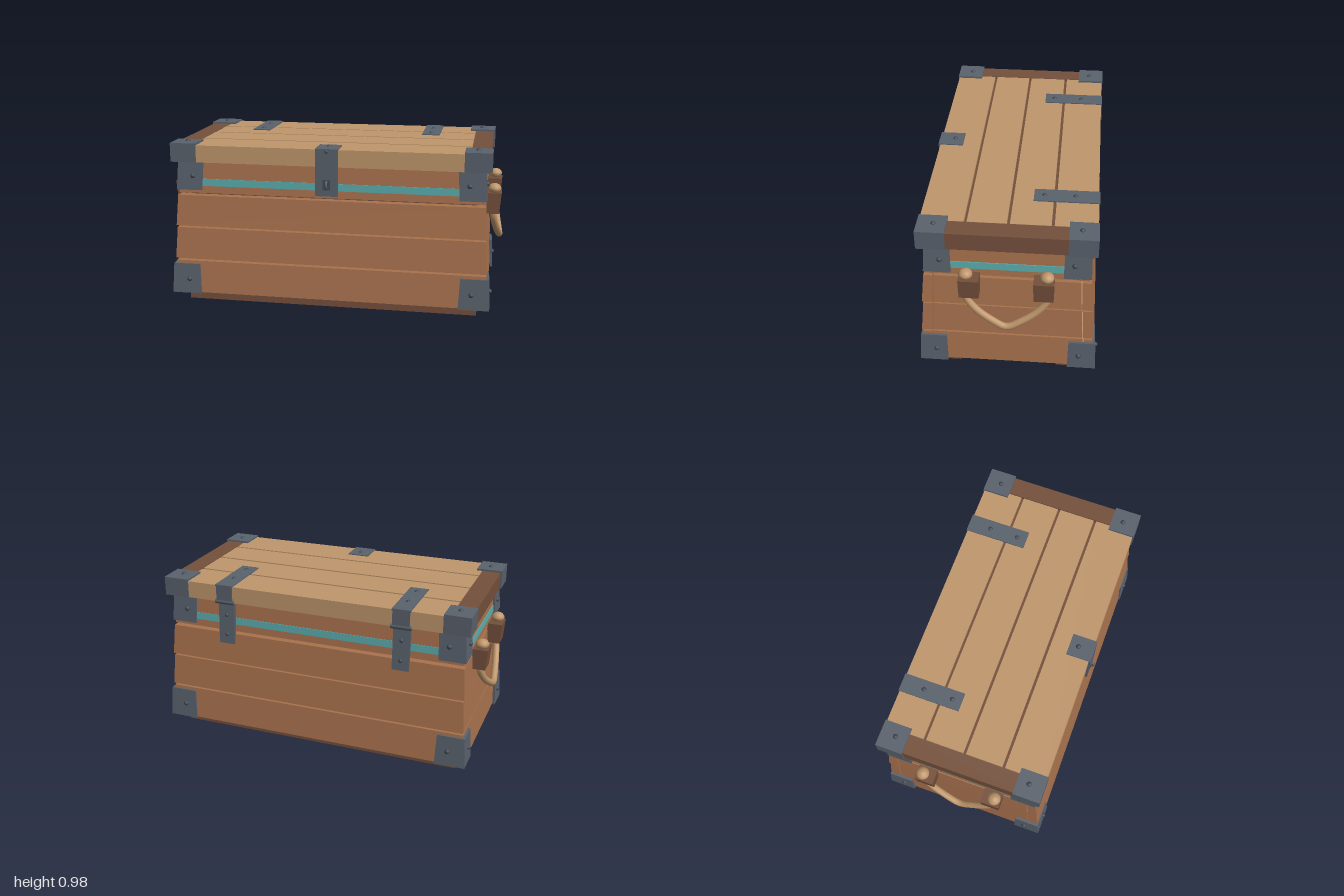
import * as THREE from 'three';

const mat = (name, color) => Object.assign(new THREE.MeshStandardMaterial({ color }), { name });

export function createModel() {
  const brown = mat('brown wood', 0xa9724e);
  const dark = mat('dark wood', 0x75503c);
  const tan = mat('pale wood', 0xbf966b);
  const iron = mat('iron', 0x5a626d);
  const rivetIron = mat('dark iron', 0x444b55);
  const teal = mat('teal trim', 0x5aacad);

  const root = new THREE.Group();
  root.name = 'chest';

  const add = (parent, name, geometry, material) => {
    const m = new THREE.Mesh(geometry, material);
    m.name = name;
    parent.add(m);
    return m;
  };

  // Block between y0 and y1 with [x0, x1, z0, z1] given at the bottom and at the top
  const block = (parent, name, material, y0, y1, low, high = low) => {
    const g = new THREE.BoxGeometry(1, 1, 1);
    const p = g.attributes.position;
    for (let i = 0; i < p.count; i++) {
      const up = p.getY(i) > 0, r = up ? high : low;
      const x = p.getX(i) > 0 ? Math.max(r[0], r[1]) : Math.min(r[0], r[1]);
      const z = p.getZ(i) > 0 ? Math.max(r[2], r[3]) : Math.min(r[2], r[3]);
      p.setXYZ(i, x, up ? y1 : y0, z);
    }
    g.computeVertexNormals();
    return add(parent, name, g, material);
  };

  const rivet = (parent, x, y, z, r = 0.015) => {
    const m = add(parent, 'rivet', new THREE.SphereGeometry(r, 12, 8), rivetIron);
    m.position.set(x, y, z);
  };

  // Inner core seen between the planks
  block(root, 'innerCore', dark, 0.1, 0.87, [-0.885, 0.885, -0.398, 0.398], [-0.865, 0.865, -0.39, 0.39]);

  // Wall rows: y0, y1, half length bottom/top, half depth bottom/top
  const rows = [
    [0.07, 0.262, 0.926, 0.915, 0.489, 0.474],
    [0.276, 0.463, 0.918, 0.906, 0.481, 0.464],
    [0.475, 0.658, 0.91, 0.898, 0.47, 0.453],
    [0.672, 0.862, 0.894, 0.883, 0.442, 0.43],
  ];
  for (const side of [0, 1]) {
    const walls = new THREE.Group();
    walls.name = side ? 'backAndRightWalls' : 'frontAndLeftWalls';
    walls.rotation.y = side * Math.PI;
    root.add(walls);
    for (const [y0, y1, xb, xt, zb, zt] of rows) {
      block(walls, 'longPlank', brown, y0, y1, [-xb, xb, zb - 0.06, zb], [-xt, xt, zt - 0.05, zt]);
      block(walls, 'endPlank', brown, y0, y1,
        [xb - 0.06, xb - 0.003, 0.066 - zb, zb - 0.066], [xt - 0.06, xt - 0.003, 0.056 - zt, zt - 0.056]);
    }
  }
  block(root, 'trimBand', teal, 0.715, 0.757, [-0.893, 0.893, -0.442, 0.442], [-0.891, 0.891, -0.44, 0.44]);

  // Floor boards and runners
  const boards = 7, w = 1.74 / boards;
  for (let i = 0; i < boards; i++) {
    const x = -0.87 + i * w;
    block(root, 'floorBoard', tan, 0.08, 0.105, [x + 0.003, x + w - 0.003, -0.43, 0.43]);
  }
  for (const s of [-1, 1]) block(root, 'runner', dark, 0, 0.08, [-0.865, 0.865, s * 0.275, s * 0.405]);

  // Lid: four boards over a dark base, with end bars
  block(root, 'lidBase', dark, 0.862, 0.943, [-0.86, 0.86, -0.46, 0.46]);
  const cuts = [-0.472, -0.235, 0, 0.228, 0.472];
  for (let i = 0; i < 4; i++) {
    block(root, 'lidBoard', tan, 0.86, 0.96,
      [-0.803, 0.803, cuts[i] + (i ? 0.008 : 0), cuts[i + 1] - (i < 3 ? 0.008 : 0)]);
  }
  for (const s of [-1, 1]) block(root, 'lidEndBar', dark, 0.86, 0.961, [s * 0.806, s * 0.917, -0.472, 0.472]);

  // Corner brackets: y0, y1, outer x/z bottom, outer x/z top, inner x/z, rivet x/z/y
  const brackets = [
    [0.065, 0.245, 0.94, 0.498, 0.93, 0.486, 0.77, 0.338, 0.835, 0.4, 0.153],
    [0.69, 0.86, 0.905, 0.452, 0.894, 0.44, 0.75, 0.302, 0.805, 0.36, 0.775],
    [0.86, 0.971, 0.926, 0.478, 0.926, 0.478, 0.773, 0.322, 0, 0, 0],
  ];
  const t = 0.014;
  for (const sx of [-1, 1]) for (const sz of [-1, 1]) {
    const corner = new THREE.Group();
    corner.name = 'cornerIrons';
    root.add(corner);
    brackets.forEach(([y0, y1, xb, zb, xt, zt, xi, zi, rx, rz, ry], i) => {
      const lean = i < 2 ? 0.008 : 0;
      block(corner, 'bracketFace', iron, y0, y1,
        [sx * (xi - (i ? 0 : lean)), sx * xb, sz * (zb - t), sz * zb],
        [sx * (xi + (i ? -lean : 0)), sx * xt, sz * (zt - t), sz * zt]);
      block(corner, 'bracketEnd', iron, y0, y1,
        [sx * (xb - t), sx * xb, sz * zi, sz * zb], [sx * (xt - t), sx * xt, sz * (zi + lean / 2), sz * zt]);
      if (i < 2) {
        rivet(corner, sx * rx, ry, sz * ((zb + zt) / 2));
        rivet(corner, sx * (xb + xt) / 2, ry, sz * rz);
      } else {
        block(corner, 'bracketTop', iron, y1 - t, y1, [sx * xi, sx * xt, sz * zi, sz * zt]);
        rivet(corner, sx * 0.845, 0.968, sz * 0.39);
      }
    });
  }

  // Front hasp with its staple and slot
  const hasp = new THREE.Group();
  hasp.name = 'hasp';
  root.add(hasp);
  block(hasp, 'haspStrap', iron, 0.692, 0.966, [-0.065, 0.065, 0.47, 0.483]);
  block(hasp, 'haspTop', iron, 0.955, 0.966, [-0.065, 0.065, 0.338, 0.483]);
  block(hasp, 'haspSlot', rivetIron, 0.728, 0.788, [-0.022, 0.022, 0.482, 0.486]);
  const staple = add(hasp, 'staple', new THREE.TorusGeometry(0.021, 0.007, 8, 20), iron);
  staple.rotation.y = Math.PI / 2;
  staple.position.set(0, 0.758, 0.479);
  rivet(hasp, 0, 0.962, 0.39);
  rivet(hasp, 0, 0.95, 0.481, 0.01);

  // Back hinges
  for (const s of [-1, 1]) {
    const hinge = new THREE.Group();
    hinge.name = 'hinge';
    hinge.position.x = s * 0.537;
    root.add(hinge);
    block(hinge, 'hingeTop', iron, 0.955, 0.966, [-0.054, 0.054, -0.478, -0.118]);
    block(hinge, 'hingeLidStrap', iron, 0.86, 0.966, [-0.05, 0.05, -0.468, -0.478]);
    block(hinge, 'hingeStrap', iron, 0.597, 0.86, [-0.05, 0.05, -0.453, -0.467], [-0.05, 0.05, -0.43, -0.452]);
    const pin = add(hinge, 'hingePin', new THREE.CylinderGeometry(0.017, 0.017, 0.12, 16), iron);
    pin.rotation.z = Math.PI / 2;
    pin.position.set(0, 0.862, -0.464);
    rivet(hinge, 0, 0.96, -0.175);
    rivet(hinge, 0, 0.96, -0.345);
    rivet(hinge, 0, 0.775, -0.456, 0.012);
    rivet(hinge, 0, 0.655, -0.462, 0.012);
  }

  // Rope handles with blocks and knobs
  const half = [[0.933, 0.62, 0.22], [0.938, 0.56, 0.22], [0.952, 0.49, 0.17], [0.968, 0.425, 0.08]];
  const path = [...half, [0.977, 0.39, 0], ...half.map(([x, y, z]) => [x, y, -z]).reverse()];
  const rope = new THREE.CatmullRomCurve3(path.map(p => new THREE.Vector3(...p)));
  const knobProfile = [[0, -0.024], [0.028, -0.024], [0.038, -0.008], [0.037, 0.004], [0.028, 0.018], [0.014, 0.025], [0, 0.027]]
    .map(p => new THREE.Vector2(...p));
  for (const side of [0, 1]) {
    const handle = new THREE.Group();
    handle.name = side ? 'rightHandle' : 'leftHandle';
    handle.rotation.y = side * Math.PI;
    root.add(handle);
    add(handle, 'rope', new THREE.TubeGeometry(rope, 48, 0.02, 10), tan);
    for (const s of [-1, 1]) {
      block(handle, 'handleBlock', dark, 0.575, 0.697,
        [0.885, 0.971, s * 0.147, s * 0.254], [0.895, 0.981, s * 0.145, s * 0.256]);
      add(handle, 'knob', new THREE.LatheGeometry(knobProfile, 18), tan).position.set(0.94, 0.722, s * 0.217);
    }
  }
  return root;
}
